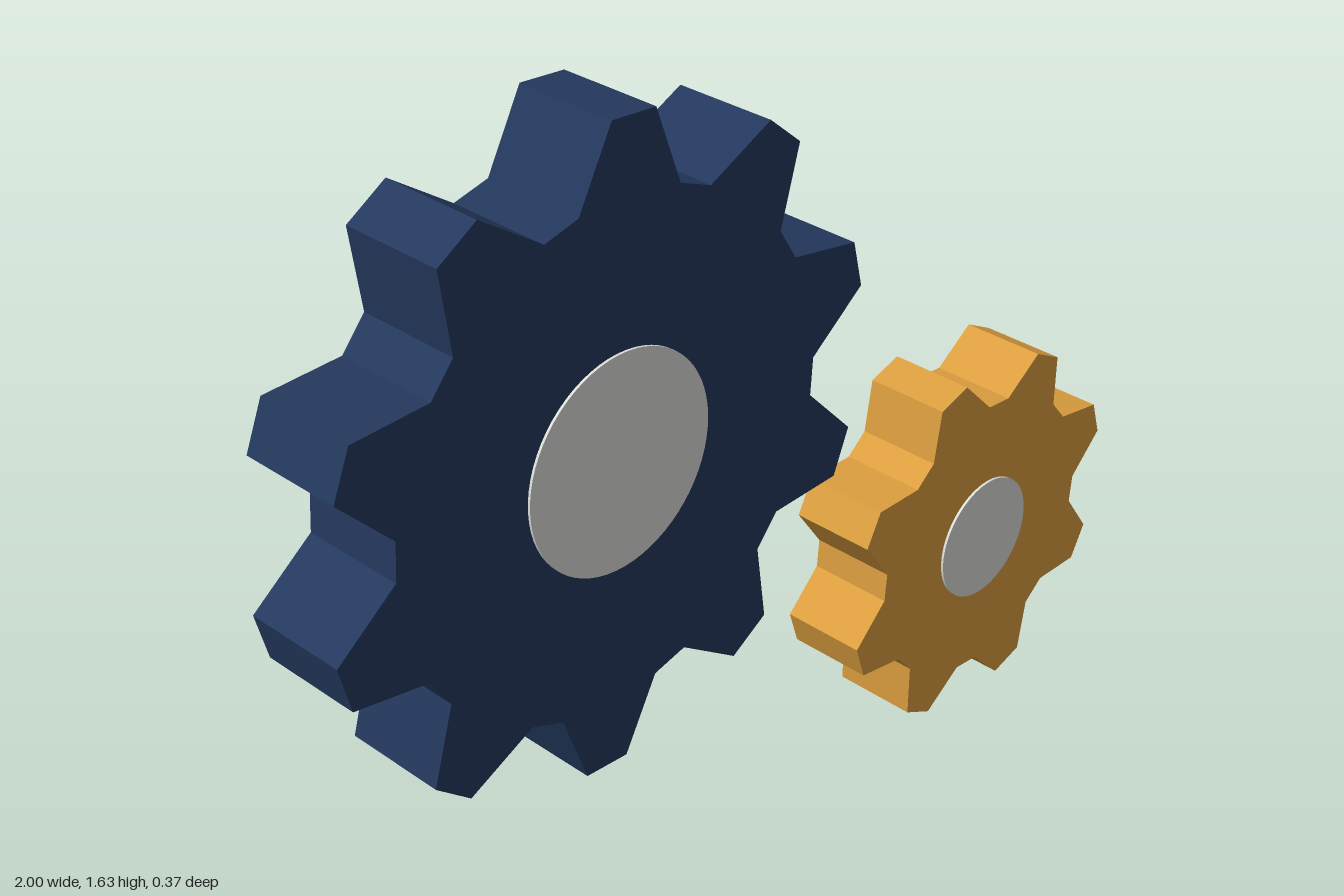
import * as THREE from 'three';

const material = (name, color) => {
  const m = new THREE.MeshStandardMaterial({ color });
  m.name = name;
  return m;
};

// Toothed outline: two tip corners and two root corners per tooth, evenly spaced
function gearShape(teeth, tipRadius, rootRadius, toothAngle) {
  const count = teeth * 4;
  const step = (Math.PI * 2) / count;
  const points = [];
  for (let i = 0; i < count; i++) {
    const r = i % 4 < 2 ? tipRadius : rootRadius;
    const a = THREE.MathUtils.degToRad(toothAngle) + (i - 0.5) * step;
    points.push(new THREE.Vector2(Math.cos(a) * r, Math.sin(a) * r));
  }
  return new THREE.Shape(points);
}

// Gear wheel with a round hub standing slightly proud on both faces
function makeGear(name, g, bodyMaterial, hubMaterial) {
  const group = new THREE.Group();
  group.name = name;

  const bodyGeometry = new THREE.ExtrudeGeometry(
    gearShape(g.teeth, g.tip, g.root, g.angle),
    { depth: g.depth, bevelEnabled: false }
  );
  bodyGeometry.translate(0, 0, -g.depth / 2);
  const body = new THREE.Mesh(bodyGeometry, bodyMaterial);
  body.name = name + 'Wheel';

  const hubGeometry = new THREE.CylinderGeometry(g.hub, g.hub, g.depth + 0.011, 64);
  hubGeometry.rotateX(Math.PI / 2);
  const hub = new THREE.Mesh(hubGeometry, hubMaterial);
  hub.name = name + 'Hub';

  group.add(body, hub);
  group.position.set(...g.position);
  return group;
}

export function createModel() {
  const navy = material('navy', 0x24395e);
  const amber = material('amber', 0xdd9f40);
  const silver = material('silver', 0xdededb);

  const model = new THREE.Group();
  model.name = 'gearPair';
  model.add(
    makeGear('largeGear', {
      teeth: 10, tip: 0.67, root: 0.525, angle: 85.2, depth: 0.225, hub: 0.225,
      position: [-0.337, 0.966, -0.0645]
    }, navy, silver),
    makeGear('smallGear', {
      teeth: 8, tip: 0.411, root: 0.32, angle: 17.2, depth: 0.184, hub: 0.137,
      position: [0.597, 0.404, 0.085]
    }, amber, silver)
  );
  return model;
}
